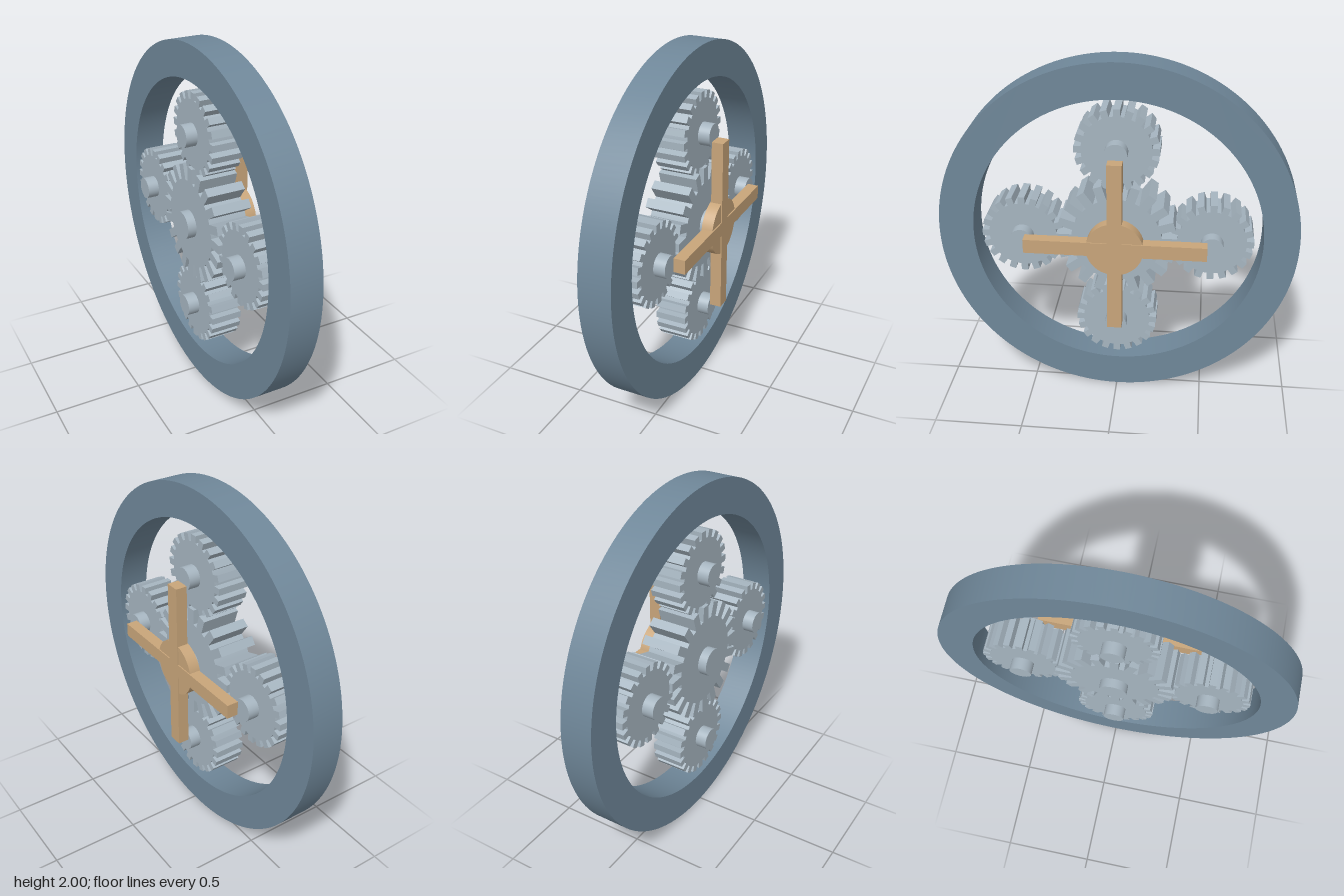
import * as THREE from 'three';
import { toCreasedNormals } from 'three/addons/utils/BufferGeometryUtils.js';

const material = (name, color) => {
  const m = new THREE.MeshStandardMaterial({ color });
  m.name = name;
  return m;
};

// Extrudes a shape along x, from x0 to x1
function extrudeX(shape, x0, x1) {
  const g = new THREE.ExtrudeGeometry(shape, { depth: x1 - x0, bevelEnabled: false, curveSegments: 96 });
  g.rotateY(Math.PI / 2).translate(x0, 0, 0);
  return toCreasedNormals(g, 0.3);
}

// Cylinder lying along x, from x0 to x1
function rodX(radius, x0, x1) {
  return new THREE.CylinderGeometry(radius, radius, x1 - x0, 48)
    .rotateZ(-Math.PI / 2).translate((x0 + x1) / 2, 0, 0);
}

// Spur gear outline with straight-sided teeth
function gearShape(teeth, root, tip, width) {
  const points = [];
  const add = (r, a) => points.push(new THREE.Vector2(r * Math.cos(a), r * Math.sin(a)));
  const rootHalf = Math.asin(width / 2 / root);
  const tipHalf = Math.asin(width / 2 / tip);
  const pitch = (2 * Math.PI) / teeth;
  for (let i = 0; i < teeth; i++) {
    const a = i * pitch;
    add(root, a - rootHalf);
    add(tip, a - tipHalf);
    add(tip, a + tipHalf);
    add(root, a + rootHalf);
    add(root, a + pitch / 2);
  }
  return new THREE.Shape(points);
}

export function createModel() {
  const model = new THREE.Group();
  model.name = 'planetaryGear';
  const ringBlue = material('ringBlue', 0x6f8799);
  const gearSteel = material('gearSteel', 0xa6b5c0);
  const carrierTan = material('carrierTan', 0xc8a57a);

  const add = (name, geometry, mat, parent = model) => {
    const mesh = new THREE.Mesh(geometry, mat);
    mesh.name = name;
    parent.add(mesh);
    return mesh;
  };

  // Outer ring
  const ring = new THREE.Shape().absarc(0, 0, 1, 0, Math.PI * 2);
  ring.holes.push(new THREE.Path().absarc(0, 0, 0.805, 0, Math.PI * 2, true));
  add('outerRing', extrudeX(ring, -0.125, 0.055), ringBlue);

  // Central sun gear and its shaft
  add('sunGear', extrudeX(gearShape(20, 0.25, 0.335, 0.05), -0.145, 0.075), gearSteel);
  add('sunShaft', rodX(0.078, -0.195, 0.12), gearSteel);

  // Four planet gears around the sun
  const planetGear = extrudeX(gearShape(20, 0.19, 0.23, 0.038), -0.125, 0.055);
  const planetShaft = rodX(0.062, -0.19, 0.12);
  for (let i = 0; i < 4; i++) {
    const planet = new THREE.Group();
    planet.name = 'planet' + (i + 1);
    const a = (i * Math.PI) / 2;
    planet.position.set(0, 0.525 * Math.cos(a), 0.525 * Math.sin(a));
    add('planetGear', planetGear, gearSteel, planet);
    add('planetShaft', planetShaft, gearSteel, planet);
    model.add(planet);
  }

  // Cross-shaped carrier with a round hub
  add('carrierHub', rodX(0.157, 0.12, 0.184), carrierTan);
  add('carrierArmVertical', new THREE.BoxGeometry(0.065, 1, 0.08).translate(0.1575, 0, 0), carrierTan);
  for (const s of [-1, 1]) {
    add('carrierArmSide', new THREE.BoxGeometry(0.065, 0.08, 0.46).translate(0.1575, 0, s * 0.27), carrierTan);
  }

  // Stand the ring on the ground
  for (const part of model.children) part.position.y += 1;
  return model;
}
